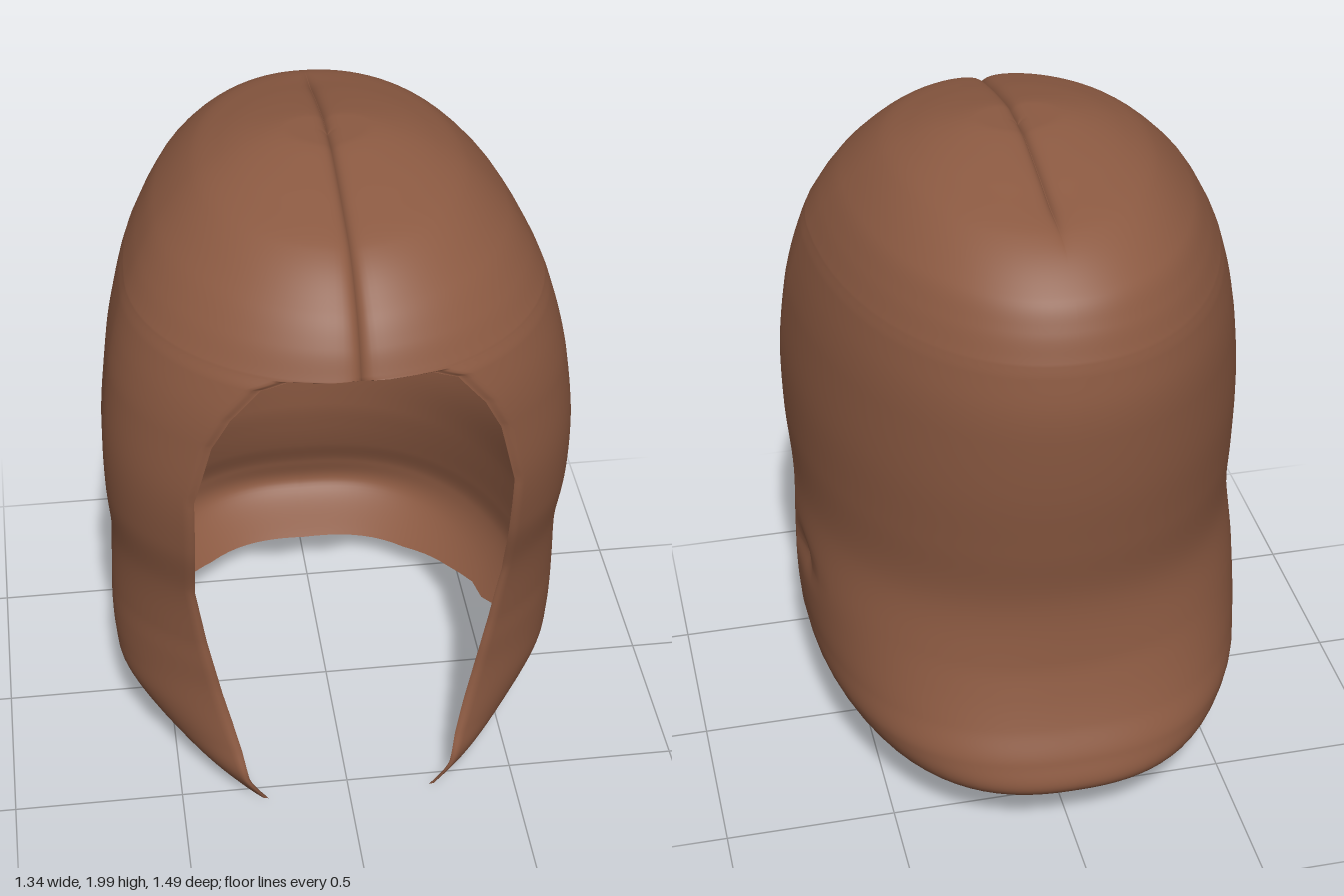
import * as THREE from 'three';

// Horizontal sections, crown to hem:
// [height, half width, back z, front z on the centre line, half width of face opening, z of widest point]
const SECTIONS = [
  [2.0, 0.0, 0.03, 0.03, 0, 0.03],
  [2.0, 0.12, -0.05, 0.12, 0, 0.03],
  [1.98, 0.22, -0.17, 0.23, 0, 0.04],
  [1.95, 0.30, -0.31, 0.36, 0, 0.05],
  [1.9, 0.385, -0.49, 0.52, 0, 0.07],
  [1.8, 0.485, -0.635, 0.65, 0, 0.11],
  [1.72, 0.54, -0.685, 0.71, 0, 0.15],
  [1.645, 0.58, -0.712, 0.745, 0, 0.18],
  [1.635, 0.584, -0.715, 0.749, 0.18, 0.182],
  [1.6, 0.597, -0.722, 0.763, 0.26, 0.19],
  [1.5, 0.625, -0.733, 0.78, 0.34, 0.215],
  [1.4, 0.645, -0.73, 0.78, 0.39, 0.235],
  [1.2, 0.667, -0.707, 0.77, 0.44, 0.25],
  [1.0, 0.667, -0.67, 0.725, 0.44, 0.24],
  [0.8, 0.655, -0.633, 0.66, 0.44, 0.2],
  [0.6, 0.665, -0.64, 0.63, 0.41, 0.16],
  [0.5, 0.665, -0.66, 0.62, 0.39, 0.16],
  [0.4, 0.66, -0.69, 0.61, 0.37, 0.16],
  [0.3, 0.645, -0.73, 0.615, 0.345, 0.16],
  [0.2, 0.585, -0.735, 0.645, 0.32, 0.18],
  [0.1, 0.49, -0.58, 0.695, 0.30, 0.22],
  [0.0, 0.37, -0.4, 0.665, 0.24, 0.3],
];
const LAST = SECTIONS.length - 1;
const HEM_START = 17;      // index of the section at y = 0.4
const HALF_COLS = 48;
const ROWS_PER_SECTION = 8;

// Distance along the outline, used to space the spline evenly
const KNOTS = [0];
for (let i = 1; i <= LAST; i++) {
  const [a, b] = [SECTIONS[i - 1], SECTIONS[i]];
  KNOTS.push(KNOTS[i - 1] + Math.hypot(b[0] - a[0], b[1] - a[1]));
}

// Slope of one section value at a knot
function slope(i, k) {
  const a = Math.max(0, i - 1);
  const b = Math.min(LAST, i + 1);
  return (SECTIONS[b][k] - SECTIONS[a][k]) / (KNOTS[b] - KNOTS[a]);
}

// Smooth section at fractional index u
function sectionAt(u) {
  const i = Math.min(Math.floor(u), LAST - 1);
  const f = u - i;
  const step = KNOTS[i + 1] - KNOTS[i];
  return SECTIONS[i].map((v, k) => {
    const next = SECTIONS[i + 1][k];
    // straight for the opening and the crown cap
    if (k === 4 || i === 0) return THREE.MathUtils.lerp(v, next, f);
    const f2 = f * f, f3 = f2 * f;
    return v * (2 * f3 - 3 * f2 + 1) + next * (3 * f2 - 2 * f3)
      + step * (slope(i, k) * (f3 - 2 * f2 + f) + slope(i + 1, k) * (f3 - f2));
  });
}

// Hem height from the back centre (t = 0) round to the face edge (t = 1)
function hemHeight(t) {
  const points = [[0, 0.1], [0.2, 0.11], [0.32, 0.135], [0.42, 0.17], [0.52, 0.13], [0.64, 0.07], [0.8, 0.035], [1, 0.005]];
  let k = 0;
  while (k < points.length - 2 && t > points[k + 1][0]) k++;
  const [p, q] = [points[k], points[k + 1]];
  const y = THREE.MathUtils.mapLinear(t, p[0], q[0], p[1], q[1]);
  const ragged = t > 0.4 && t < 0.85 ? 0.012 * Math.sin(t * 75) : 0;
  return Math.max(0, y + ragged);
}

// Point on the hair surface; side is -1 or 1
function hairPoint(row, t, side, target) {
  let u = row;
  if (row > HEM_START) {
    const end = HEM_START + (0.4 - hemHeight(t)) / 0.1;
    u = THREE.MathUtils.mapLinear(row, HEM_START, LAST, HEM_START, end);
  }
  const [y, w, zBack, zFront, open, zMid] = sectionAt(u);
  let x, z;
  if (t <= 0.5) {
    // back, boxier towards the neck
    const a = t * Math.PI;
    const e = 0.96 - 0.15 * (1 - THREE.MathUtils.smoothstep(y, 0.25, 0.8));
    x = w * Math.pow(Math.sin(a), e);
    z = zMid - (zMid - zBack) * Math.pow(Math.max(0, Math.cos(a)), e);
  } else {
    // front, flatter from cheek to face edge lower down
    const e = 1 + 0.1 * (1 - THREE.MathUtils.smoothstep(y, 0.4, 1.0));
    const aMax = w > 0.001 ? Math.acos(Math.min(1, Math.pow(open / w, 1 / e))) : Math.PI / 2;
    const a = (t - 0.5) * 2 * aMax;
    x = w * Math.pow(Math.max(0, Math.cos(a)), e);
    z = zMid + (zFront - zMid) * Math.pow(Math.sin(a), e);
  }
  // small pinch in the hair at each side
  x -= 0.025 * Math.exp(-(((z - 0.05) / 0.07) ** 2) - ((y - 0.6) / 0.05) ** 2);
  target.set(x * side, y, z);

  // centre parting pressed into the crown
  if (y > 1.6) {
    const fade = THREE.MathUtils.smoothstep(z, -0.55, -0.35);
    const depth = fade * (0.015 * Math.exp(-x / 0.05) + 0.015 * Math.exp(-x / 0.01));
    const inward = new THREE.Vector3(0, 1.1, 0).sub(target).normalize();
    target.addScaledVector(inward, depth);
  }
  // face edge turned slightly inward
  if (open > 0.1) target.z -= 0.012 * THREE.MathUtils.smoothstep(t, 0.97, 1);
  return target;
}

function hairGeometry() {
  const rows = LAST * ROWS_PER_SECTION;
  const cols = HALF_COLS * 2;
  const positions = [];
  const index = [];
  const p = new THREE.Vector3();
  for (let r = 0; r <= rows; r++) {
    for (let c = 0; c <= cols; c++) {
      const k = (c - HALF_COLS) / HALF_COLS;
      const t = 0.5 - 0.5 * Math.cos(Math.PI * Math.abs(k)); // denser at the parting
      hairPoint(r / ROWS_PER_SECTION, t, Math.sign(k) || 1, p);
      positions.push(p.x, p.y, p.z);
      if (r < rows && c < cols) {
        const a = r * (cols + 1) + c;
        const b = a + cols + 1;
        // columns run from -x round the back to +x
        index.push(a, a + 1, b, a + 1, b + 1, b);
      }
    }
  }
  const geometry = new THREE.BufferGeometry();
  geometry.setAttribute('position', new THREE.Float32BufferAttribute(positions, 3));
  geometry.setIndex(index);
  geometry.computeVertexNormals();
  return geometry;
}

export function createModel() {
  const model = new THREE.Group();
  model.name = 'hairModel';
  const brown = new THREE.MeshStandardMaterial({ color: 0x8c5a42, side: THREE.DoubleSide });
  brown.name = 'brown hair';
  const hair = new THREE.Mesh(hairGeometry(), brown);
  hair.name = 'hair';
  model.add(hair);
  return model;
}
